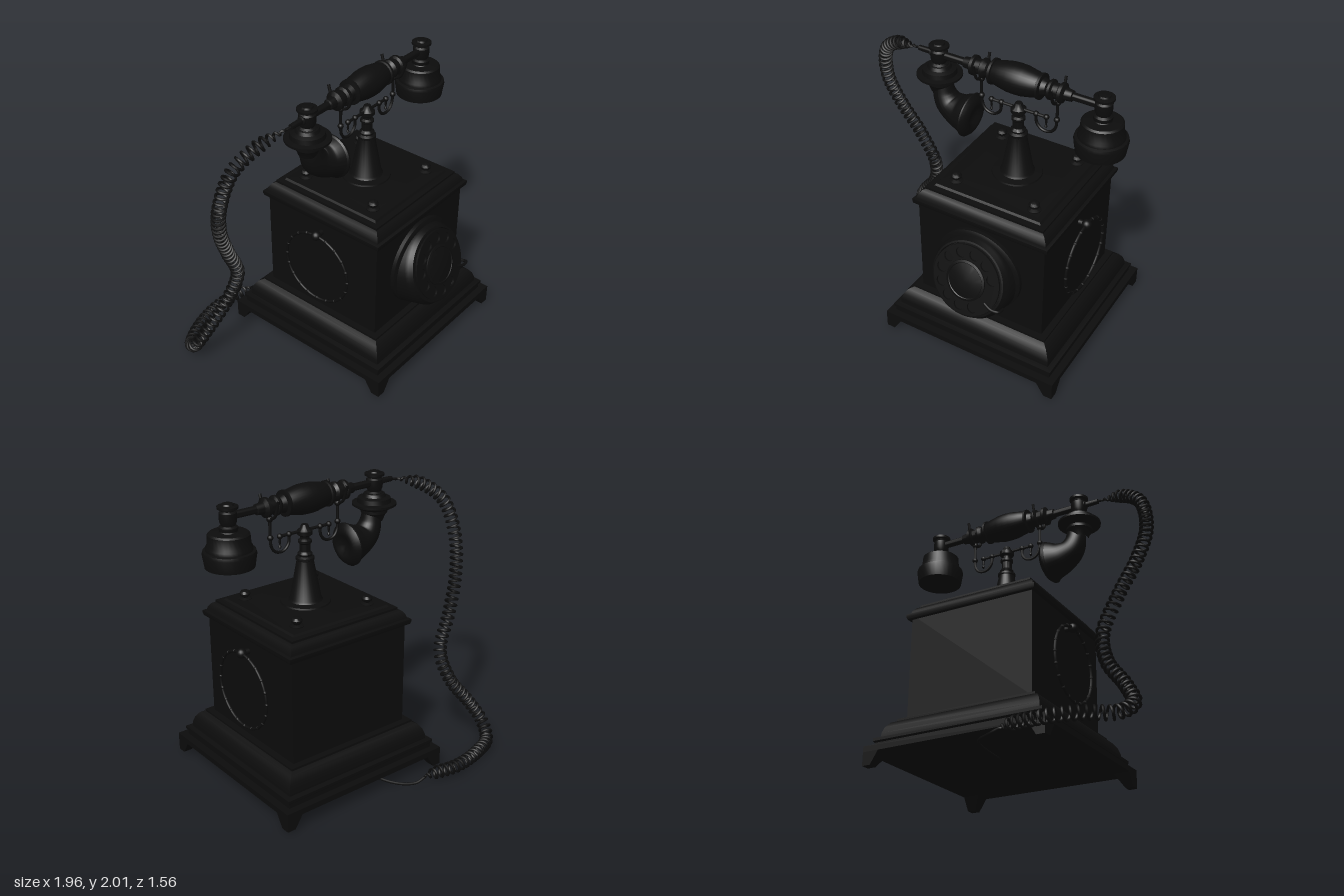
import * as THREE from 'three';
import { toCreasedNormals } from 'three/addons/utils/BufferGeometryUtils.js';

const CX = 0.235, CZ = 0.065; // centre of the cabinet
const black = new THREE.MeshStandardMaterial({ color: 0x0c0c0c });
black.name = 'black';

function add(parent, name, geo, x = 0, y = 0, z = 0) {
  const m = new THREE.Mesh(geo, black);
  m.name = name;
  m.position.set(x, y, z);
  parent.add(m);
  return m;
}
const v3 = (p) => new THREE.Vector3(...p);

// Turned profile of [radius, height] pairs, listed upwards
function turned(pts, seg = 32) {
  const g = new THREE.LatheGeometry(pts.map(([r, y]) => new THREE.Vector2(r, y)), seg);
  return toCreasedNormals(g, 0.6);
}

// Square moulding from [half width, height] pairs
function squareMoulding(pts) {
  const g = new THREE.LatheGeometry(pts.map(([h, y]) => new THREE.Vector2(h * Math.SQRT2, y)), 4, Math.PI / 4);
  return toCreasedNormals(g, 0.5);
}

function tube(points, r, seg = 24) {
  return new THREE.TubeGeometry(new THREE.CatmullRomCurve3(points.map(v3)), seg, r, 8);
}

function buildCabinet() {
  const g = new THREE.Group();
  g.name = 'cabinet';
  g.position.set(CX, 0, CZ);
  add(g, 'base', squareMoulding([
    [0, 0.1], [0.655, 0.1], [0.655, 0.14], [0.605, 0.14], [0.605, 0.17], [0.615, 0.18], [0.615, 0.2],
    [0.58, 0.205], [0.578, 0.24], [0.565, 0.28], [0.54, 0.315], [0.51, 0.33], [0.51, 0.345], [0, 0.345]]));
  add(g, 'body', squareMoulding([[0, 0.34], [0.465, 0.34], [0.465, 1.1], [0, 1.1]]));
  add(g, 'roof', squareMoulding([
    [0, 1.065], [0.49, 1.065], [0.495, 1.08], [0.495, 1.1], [0.475, 1.105], [0.468, 1.13], [0.45, 1.155],
    [0.43, 1.165], [0.43, 1.18], [0.39, 1.182], [0.38, 1.195], [0.3, 1.197], [0.29, 1.2], [0, 1.2]]));
  for (let i = 0; i < 4; i++) {
    // foot tapering towards the outer corner
    const foot = new THREE.BoxGeometry(0.12, 0.095, 0.12).translate(-0.06, 0, -0.06);
    const p = foot.attributes.position;
    for (let k = 0; k < p.count; k++) {
      if (p.getY(k) < 0) p.setXYZ(k, p.getX(k) * 0.5, p.getY(k), p.getZ(k) * 0.5);
    }
    foot.computeVertexNormals();
    const corner = new THREE.Group();
    corner.name = 'corner';
    corner.rotation.y = (i * Math.PI) / 2;
    g.add(corner);
    add(corner, 'foot', foot, 0.655, 0.0575, 0.655);
    add(corner, 'roofKnob', turned([[0.045, 0], [0.045, 0.012], [0.02, 0.02], [0.034, 0.035],
      [0.036, 0.048], [0.026, 0.064], [0, 0.072]], 20), 0.287, 1.19, 0.287);
  }
  // beaded ring handles hung on both sides
  for (const s of [-1, 1]) {
    const h = new THREE.Group();
    h.name = 'ringHandle';
    h.position.set(s * 0.52, 0.705, 0);
    g.add(h);
    add(h, 'ring', new THREE.TorusGeometry(0.265, 0.01, 8, 56).rotateY(Math.PI / 2));
    for (let i = 0; i < 20; i++) {
      const a = (i * Math.PI) / 10;
      add(h, 'bead', new THREE.SphereGeometry(0.014, 8, 6), 0, 0.265 * Math.cos(a), 0.265 * Math.sin(a));
    }
    add(h, 'peg', new THREE.CylinderGeometry(0.02, 0.02, 0.08, 14).rotateZ(Math.PI / 2), -s * 0.035, 0.265, 0);
    add(h, 'pegBall', new THREE.SphereGeometry(0.034, 16, 12), 0, 0.265, 0);
  }
  return g;
}

function buildDial() {
  const g = new THREE.Group();
  g.name = 'dial';
  add(g, 'dialBackplate', turned([[0.31, 0], [0.31, 0.03], [0.29, 0.04], [0, 0.04]], 48).rotateX(Math.PI / 2), CX, 0.715, 0.525);
  const t = new THREE.Group();
  t.name = 'tiltedDial';
  t.position.set(CX, 0.735, 0.69);
  t.rotation.x = -0.31;
  g.add(t);
  add(t, 'dialHousing', turned([[0.285, -0.26], [0.285, -0.05], [0.275, -0.03], [0.262, -0.002],
    [0.25, 0], [0.245, -0.015], [0, -0.015]], 48).rotateX(Math.PI / 2));
  // finger wheel
  const wheel = new THREE.Shape().absarc(0, 0, 0.242, 0, Math.PI * 2);
  for (let i = 0; i < 10; i++) {
    const a = 0.35 + i * 0.53;
    wheel.holes.push(new THREE.Path().absarc(0.188 * Math.cos(a), 0.188 * Math.sin(a), 0.036, 0, Math.PI * 2, true));
  }
  add(t, 'fingerWheel', new THREE.ExtrudeGeometry(wheel, { depth: 0.014, bevelEnabled: false, curveSegments: 20 }), 0, 0, 0.003);
  add(t, 'hub', turned([[0.142, 0], [0.14, 0.025], [0.125, 0.03], [0.12, 0.026], [0.07, 0.036], [0, 0.04]], 36).rotateX(Math.PI / 2));
  add(t, 'fingerStop', tube([[0.27, -0.12, -0.03], [0.265, -0.12, 0.025], [0.22, -0.12, 0.035], [0.16, -0.1, 0.025]], 0.01));
  return g;
}

function buildCradle() {
  const g = new THREE.Group();
  g.name = 'cradle';
  g.position.set(CX, 0, CZ);
  add(g, 'pedestal', turned([
    [0.17, 1.195], [0.165, 1.21], [0.115, 1.215], [0.105, 1.23], [0.056, 1.49], [0.062, 1.495], [0.062, 1.51],
    [0.045, 1.52], [0.05, 1.535], [0.036, 1.55], [0.036, 1.6], [0.045, 1.61], [0.045, 1.625], [0.03, 1.635],
    [0.03, 1.65], [0.05, 1.665], [0.05, 1.69], [0.032, 1.705], [0.022, 1.73], [0, 1.735]]));
  add(g, 'crossBar', new THREE.CylinderGeometry(0.01, 0.01, 0.4, 10).rotateZ(Math.PI / 2), 0, 1.69, 0);
  for (const s of [-1, 1]) {
    const X = (d) => s * d;
    for (const d of [0.125, 0.197]) add(g, 'barBall', new THREE.SphereGeometry(0.019, 12, 8), X(d), 1.69, 0);
    add(g, 'hook', tube([[X(0.125), 1.69, 0], [X(0.13), 1.63, 0], [X(0.16), 1.594, 0], [X(0.2), 1.585, 0],
      [X(0.24), 1.6, 0], [X(0.265), 1.64, 0], [X(0.27), 1.7, 0], [X(0.27), 1.83, 0]], 0.01, 36));
    add(g, 'pendant', turned([[0, 1.605], [0.01, 1.62], [0.004, 1.635], [0.008, 1.65], [0.006, 1.69]], 10), X(0.197), 0, 0);
    add(g, 'hookBall', new THREE.SphereGeometry(0.02, 12, 8), X(0.27), 1.695, 0);
    add(g, 'forkSocket', new THREE.SphereGeometry(0.022, 12, 8), X(0.27), 1.82, 0);
    // fork opening upwards around the handset
    add(g, 'fork', tube([[X(0.27), 1.96, -0.1], [X(0.27), 1.9, -0.082], [X(0.27), 1.845, -0.055], [X(0.27), 1.822, 0],
      [X(0.27), 1.845, 0.055], [X(0.27), 1.9, 0.082], [X(0.27), 1.96, 0.1]], 0.01, 30));
  }
  return g;
}

function buildHandset() {
  const g = new THREE.Group();
  g.name = 'handset';
  g.position.z = CZ;
  // grip profile from its middle outwards, mirrored to both ends
  const half = [[0.1, 0], [0.098, 0.05], [0.085, 0.12], [0.075, 0.155], [0.085, 0.16], [0.085, 0.175], [0.06, 0.18],
    [0.05, 0.21], [0.065, 0.23], [0.065, 0.245], [0.05, 0.255], [0.05, 0.29], [0.065, 0.3], [0.065, 0.32],
    [0.04, 0.335], [0.035, 0.38], [0.025, 0.385], [0.025, 0.57]];
  const mirrored = half.slice(1).reverse().map(([r, y]) => [r, -y]);
  add(g, 'grip', turned([...mirrored, ...half]).rotateZ(-Math.PI / 2), 0.225, 1.9, 0);
  add(g, 'cordSocket', turned([[0, -0.14], [0.018, -0.14], [0.02, -0.05], [0.03, -0.045], [0.03, 0]], 16)
    .rotateZ(-Math.PI / 2), -0.36, 1.9, 0);
  const post = [[0.045, 1.78], [0.06, 1.82], [0.06, 1.835], [0.045, 1.845], [0.055, 1.87], [0.055, 1.925],
    [0.042, 1.935], [0.045, 1.945], [0.066, 1.95], [0.066, 1.965], [0.04, 1.97], [0.035, 1.98], [0, 1.984]];
  for (const x of [-0.35, 0.81]) add(g, 'endPost', turned(post), x, 0, 0);

  add(g, 'earpiece', turned([[0, 1.61], [0.1, 1.6], [0.145, 1.58], [0.157, 1.58], [0.17, 1.665], [0.165, 1.685],
    [0.148, 1.69], [0.146, 1.71], [0.137, 1.725], [0.132, 1.79], [0.12, 1.8], [0.06, 1.805], [0.045, 1.83]]), 0.81, 0, 0);
  add(g, 'mouthpieceCollar', turned([[0.06, 1.64], [0.075, 1.68], [0.09, 1.7], [0.09, 1.72], [0.115, 1.73], [0.15, 1.75],
    [0.15, 1.765], [0.115, 1.77], [0.11, 1.8], [0.08, 1.81], [0.07, 1.83], [0.04, 1.84]]), -0.35, 0, 0);

  // curved horn: a tube whose radius grows along the bend
  const path = new THREE.CatmullRomCurve3([[-0.325, 1.7, 0], [-0.315, 1.62, 0], [-0.28, 1.56, 0],
    [-0.21, 1.525, 0], [-0.125, 1.515, 0]].map(v3));
  const n = 24, sides = 32;
  const horn = new THREE.TubeGeometry(path, n, 1, sides);
  const p = horn.attributes.position, v = new THREE.Vector3();
  for (let i = 0; i <= n; i++) {
    const u = i / n, c = path.getPointAt(u), r = 0.062 + 0.06 * u + 0.025 * u ** 4;
    for (let j = 0; j <= sides; j++) {
      const k = i * (sides + 1) + j;
      v.fromBufferAttribute(p, k).sub(c).multiplyScalar(r).add(c);
      p.setXYZ(k, v.x, v.y, v.z);
    }
  }
  horn.computeVertexNormals();
  add(g, 'horn', horn);
  const lip = add(g, 'hornMouth', turned([[0.14, -0.012], [0.15, 0], [0.15, 0.01], [0.13, 0.032], [0.1, 0.046],
    [0.075, 0.044], [0.05, 0.025], [0, 0.02]]), -0.127, 1.515, 0);
  lip.rotation.z = -Math.PI / 2 - 0.08;
  return g;
}

// Coiled cord: a helix wound around a sweeping path, straight at both ends
function buildCord() {
  const path = new THREE.CatmullRomCurve3([
    [-0.49, 1.9, 0.065], [-0.6, 1.88, 0.04], [-0.72, 1.84, 0], [-0.87, 1.71, -0.07], [-0.93, 1.45, -0.14],
    [-0.88, 1.2, -0.21], [-0.77, 0.95, -0.27], [-0.67, 0.7, -0.3], [-0.72, 0.48, -0.36], [-0.86, 0.28, -0.42],
    [-0.935, 0.13, -0.49], [-0.88, 0.05, -0.6], [-0.7, 0.05, -0.69], [-0.45, 0.05, -0.735], [-0.2, 0.05, -0.7],
    [-0.1, 0.025, -0.69], [0.03, 0.035, -0.59], [0.22, 0.105, 0]].map(v3));
  const N = 1260, turns = 90;
  const frames = path.computeFrenetFrames(N, false);
  const pts = [];
  for (let i = 0; i <= N; i++) {
    const u = i / N, a = u * turns * Math.PI * 2;
    const r = 0.04 * THREE.MathUtils.smoothstep(u, 0.005, 0.06) * (1 - THREE.MathUtils.smoothstep(u, 0.755, 0.785));
    pts.push(path.getPointAt(u).addScaledVector(frames.normals[i], r * Math.cos(a))
      .addScaledVector(frames.binormals[i], r * Math.sin(a)));
  }
  const coil = new THREE.CatmullRomCurve3(pts);
  coil.arcLengthDivisions = 5000;
  const g = new THREE.Group();
  g.name = 'cord';
  add(g, 'coiledCord', new THREE.TubeGeometry(coil, 1500, 0.009, 6));
  return g;
}

export function createModel() {
  const model = new THREE.Group();
  model.name = 'antiqueTelephone';
  model.add(buildCabinet(), buildDial(), buildCradle(), buildHandset(), buildCord());
  return model;
}
